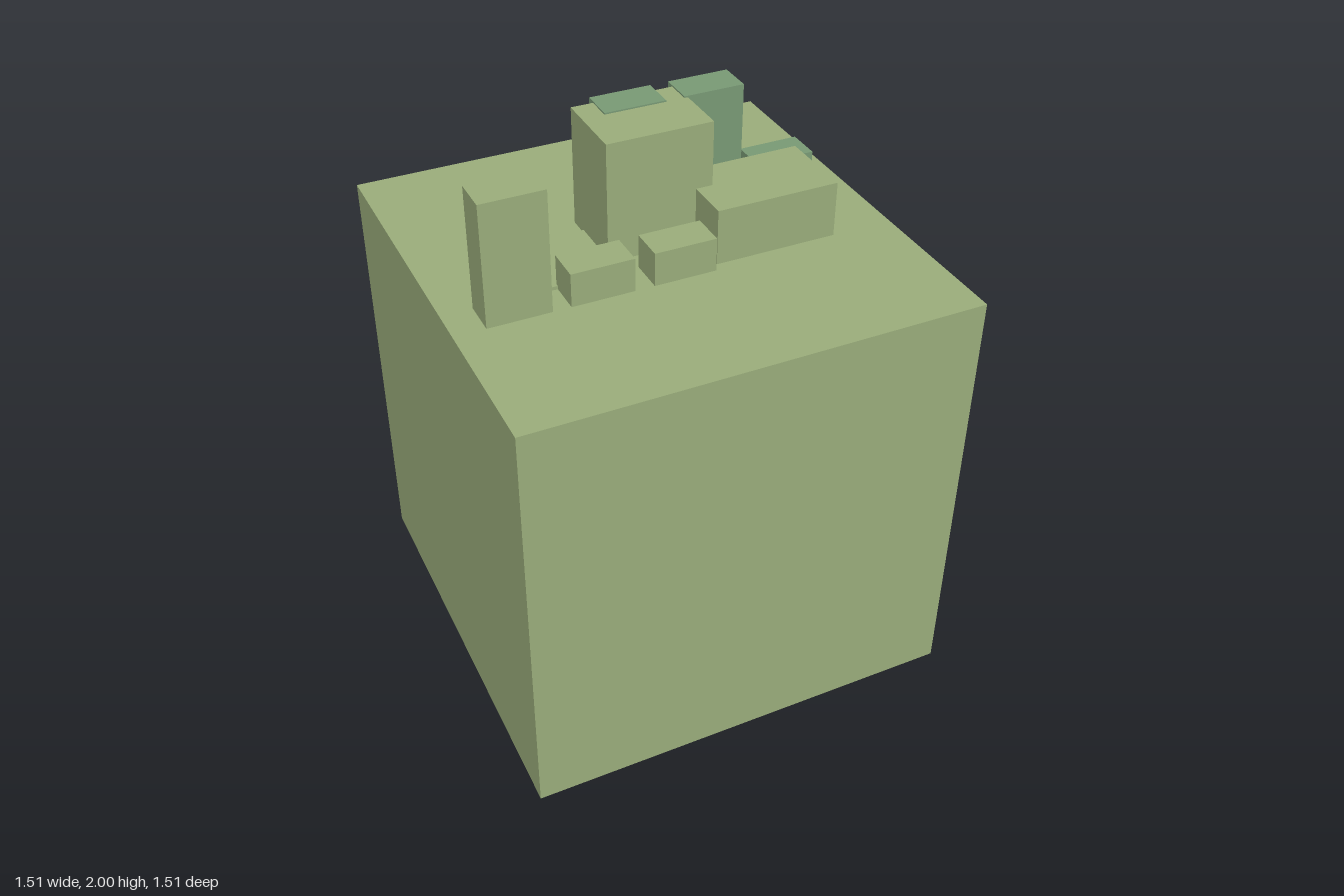
import * as THREE from 'three';

export function createModel() {
  const model = new THREE.Group();
  const green = new THREE.MeshStandardMaterial({ color: 0x9caf7c });
  const teal = new THREE.MeshStandardMaterial({ color: 0x7a9b76 });

  // Box given by its centre in plan, its size and its bottom and top heights
  function block(name, material, x, z, width, depth, bottom, top) {
    const mesh = new THREE.Mesh(new THREE.BoxGeometry(width, top - bottom, depth), material);
    mesh.position.set(x, (bottom + top) / 2, z);
    mesh.name = name;
    model.add(mesh);
  }

  const deck = 1.585;

  // Plinth and main cube
  block('plinth', teal, 0, 0, 0.83, 0.83, 0, 0.075);
  block('mainCube', green, 0, 0, 1.51, 1.51, 0.075, deck);

  // Three overlapping wide blocks on the deck
  block('lowSlab', green, -0.335, -0.003, 0.42, 0.272, deck, 1.597);
  block('centreBlock', green, 0, -0.078, 0.36, 0.272, deck, 1.995);
  block('sideBlock', green, 0.333, 0.075, 0.42, 0.272, deck, 1.775);

  // Front row of small towers
  [[-0.545, 2], [-0.275, 1.7], [0, 1.7]].forEach(([x, top], i) =>
    block(`frontTower${i + 1}`, green, x, 0.182, 0.21, 0.12, deck, top));

  // Back row of small towers
  [[0, 2], [0.273, 2], [0.545, 1.7]].forEach(([x, top], i) =>
    block(`backTower${i + 1}`, teal, x, -0.184, 0.21, 0.12, deck, top));

  return model;
}
